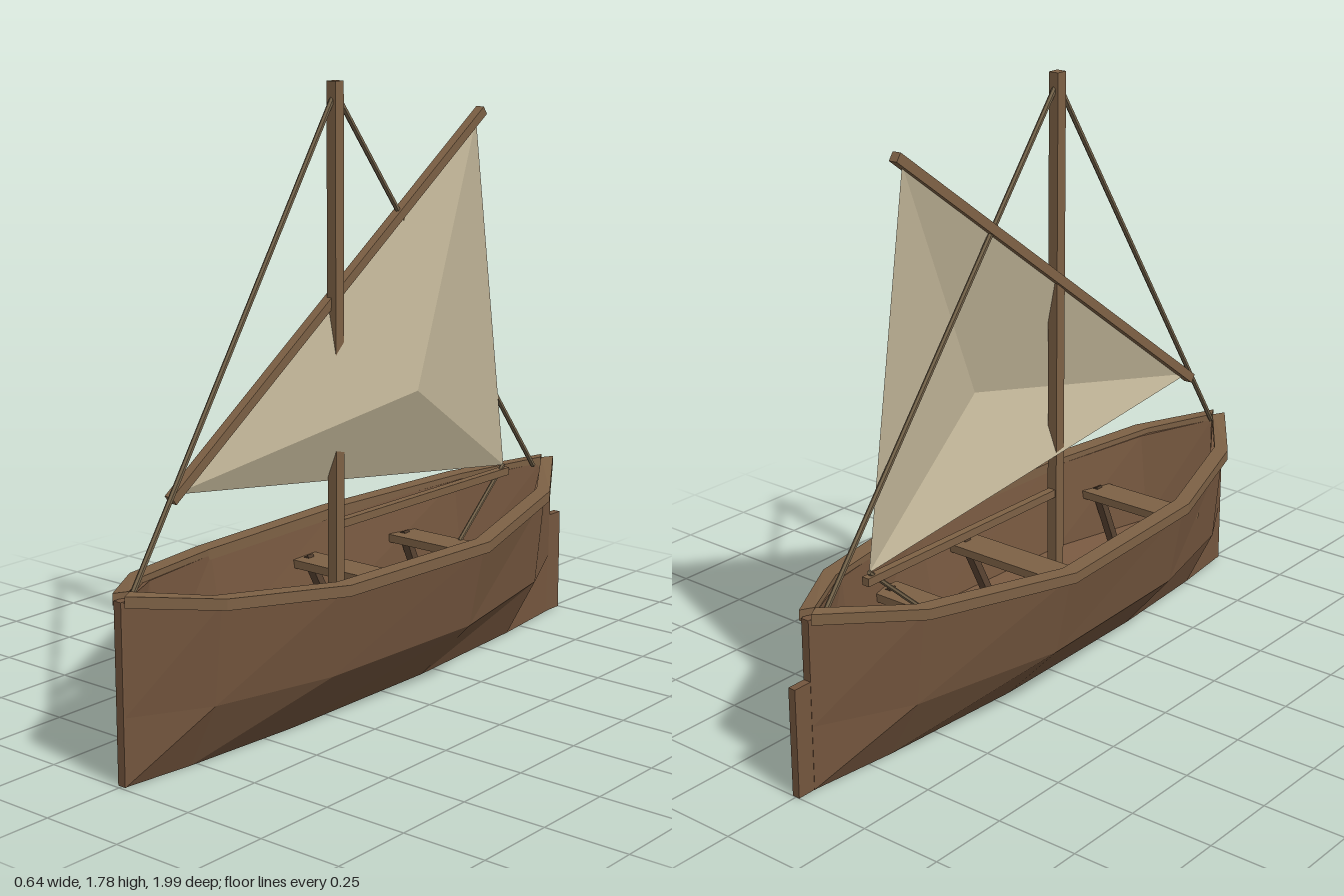
import * as THREE from 'three';

const mat = (color) => new THREE.MeshStandardMaterial({ color, flatShading: true });
const V = (x, y, z) => new THREE.Vector3(x, y, z);

// Hull stations from bow to stern: z, half width at the rail, top of rail
const STATIONS = [
  [0.985, 0.022, 0.522], [0.77, 0.18, 0.495], [0.4, 0.29, 0.465],
  [-0.19, 0.32, 0.46], [-0.67, 0.197, 0.492], [-0.94, 0.022, 0.525],
];
const INSET = 0.96;

// Skin over a row of closed sections (counter-clockwise from the front, front to back)
function loft(sections, capped) {
  const pos = [];
  const tri = (...pts) => pts.forEach((p) => pos.push(p.x, p.y, p.z));
  for (let i = 0; i < sections.length - 1; i++) {
    const s = sections[i], t = sections[i + 1], n = s.length;
    for (let j = 0; j < n; j++) {
      const k = (j + 1) % n;
      tri(s[j], t[j], t[k]);
      tri(s[j], t[k], s[k]);
    }
  }
  if (capped) {
    const s = sections[0], t = sections[sections.length - 1];
    for (let j = 1; j < s.length - 1; j++) {
      tri(s[0], s[j], s[j + 1]);
      tri(t[0], t[j + 1], t[j]);
    }
  }
  const g = new THREE.BufferGeometry();
  g.setAttribute('position', new THREE.Float32BufferAttribute(pos, 3));
  g.computeVertexNormals();
  return g;
}

export function createModel() {
  const model = new THREE.Group();
  const hullMat = mat(0x74563e), trimMat = mat(0x7d6145);
  const darkMat = mat(0x4e3b2b), ropeMat = mat(0x74634a);
  const sailMat = mat(0xbfb396);
  sailMat.side = THREE.DoubleSide;

  const add = (name, geometry, material, parent = model) => {
    const m = new THREE.Mesh(geometry, material);
    m.name = name;
    parent.add(m);
    return m;
  };
  const box = (name, size, at, material, parent) => {
    const m = add(name, new THREE.BoxGeometry(...size), material, parent);
    m.position.set(...at);
    return m;
  };
  // Straight bar between two points, square or round
  const bar = (name, a, b, w, material, parent, round) => {
    const len = a.distanceTo(b);
    const g = round ? new THREE.CylinderGeometry(w / 2, w / 2, len, 6) : new THREE.BoxGeometry(w, len, w);
    const m = add(name, g, material, parent);
    m.position.copy(a).add(b).multiplyScalar(0.5);
    m.quaternion.setFromUnitVectors(V(0, 1, 0), b.clone().sub(a).normalize());
    return m;
  };

  // Hull: flat bottom, chine and flared sides, with an inner skin
  const hullSections = STATIONS.map(([z, w, top], i) => {
    const end = i === 0 || i === STATIONS.length - 1;
    const t = Math.max(w - 0.02, 0.012);
    const outer = [[t, top - 0.02], [end ? t : t * 0.83, 0.19], [end ? t : t * 0.24, 0]];
    const inner = outer.map(([x, y]) => [Math.max(x - 0.025, 0.002), Math.max(y, 0.035)]);
    const left = (p, k) => V(-p[0], p[1], z * k), right = (p, k) => V(p[0], p[1], z * k);
    return [
      ...outer.map((p) => left(p, 1)), ...outer.slice().reverse().map((p) => right(p, 1)),
      ...inner.map((p) => right(p, INSET)), ...inner.slice().reverse().map((p) => left(p, INSET)),
    ];
  });
  add('hull', loft(hullSections, false), hullMat);
  box('stem', [0.026, 0.505, 0.04], [0, 0.2525, 0.97], hullMat);
  box('sternPost', [0.026, 0.505, 0.04], [0, 0.2525, -0.922], hullMat);

  // Rails along both top edges
  for (const side of [1, -1]) {
    const rail = STATIONS.map(([z, w, top]) => {
      const wi = Math.max(w - 0.05, 0.001), zi = z * (w < 0.05 ? INSET : 1);
      const s = [
        V(side * wi, top - 0.032, zi), V(side * w, top - 0.032, z),
        V(side * w, top, z), V(side * wi, top, zi),
      ];
      return side > 0 ? s : s.reverse();
    });
    add(side > 0 ? 'leftRail' : 'rightRail', loft(rail, true), trimMat);
  }

  // Rudder
  box('rudder', [0.024, 0.325, 0.1], [0, 0.1625, -0.95], hullMat);

  // Benches with slanted legs whose ends show as pegs
  for (const [z, half, depth] of [[-0.42, 0.2, 0.1], [-0.025, 0.255, 0.105], [0.55, 0.19, 0.1]]) {
    const bench = new THREE.Group();
    bench.name = 'bench';
    model.add(bench);
    box('benchSeat', [half * 2, 0.025, depth], [0, 0.335, z], trimMat, bench);
    for (const s of [1, -1]) {
      bar('benchLeg', V(s * 0.04, 0.03, z), V(s * (half - 0.018), 0.35, z), 0.025, darkMat, bench);
    }
  }

  // Mast, boom and slanted yard
  box('mast', [0.032, 1.755, 0.036], [0, 0.9075, 0.12], trimMat);
  bar('boom', V(0, 0.522, 0.12), V(0.008, 0.522, -0.7), 0.024, trimMat);
  bar('yard', V(-0.044, 0.715, 0.745), V(0.018, 1.665, -0.535), 0.028, trimMat);

  // Three-cornered sail, bellied out to one side
  const corners = [V(-0.04, 0.73, 0.735), V(0.008, 0.543, -0.685), V(0.016, 1.64, -0.51)];
  const belly = V(0.095, 0.885, -0.135);
  const sail = new THREE.BufferGeometry().setFromPoints(
    corners.flatMap((c, i) => [c, corners[(i + 1) % 3], belly]));
  sail.computeVertexNormals();
  add('sail', sail, sailMat);

  // Ropes
  bar('foreStay', V(0, 1.755, 0.12), V(0, 0.505, 0.94), 0.016, ropeMat, model, true);
  bar('backStay', V(0, 1.755, 0.12), V(0, 0.505, -0.86), 0.016, ropeMat, model, true);
  bar('sheetRope', V(0.008, 0.545, -0.685), V(0.008, 0.345, -0.46), 0.014, ropeMat, model, true);

  return model;
}
